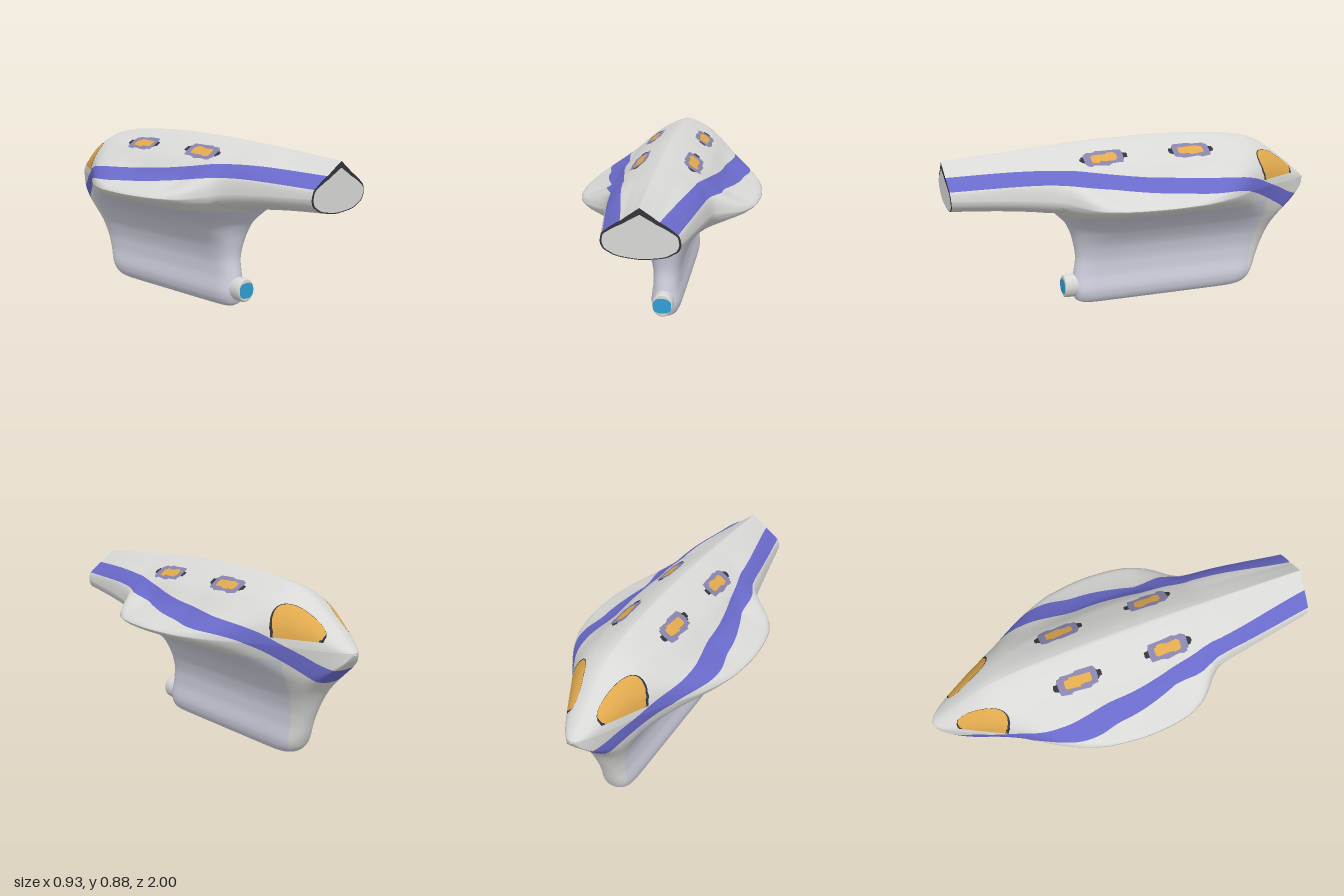
import * as THREE from 'three';

const mat = (name, color) => new THREE.MeshStandardMaterial({ name, color });
const M = {
  hull: mat('hull grey', 0xd8d8d6),
  keel: mat('keel lavender', 0xcfcfde),
  stripe: mat('stripe violet', 0x6a6acb),
  amber: mat('window amber', 0xe0a94e),
  frame: mat('window frame', 0x8883ab),
  dark: mat('dark trim', 0x34343c),
  blue: mat('exhaust blue', 0x32a0d4),
};

// Smooth monotone curve through [position, value] pairs
function curve(keys) {
  const n = keys.length;
  const slope = keys.slice(1).map((k, i) => (k[1] - keys[i][1]) / (k[0] - keys[i][0]));
  const tan = keys.map((_, i) => {
    if (i === 0) return slope[0];
    if (i === n - 1) return slope[n - 2];
    const a = slope[i - 1], b = slope[i];
    return a * b <= 0 ? 0 : (2 * a * b) / (a + b);
  });
  return (p) => {
    if (p <= keys[0][0]) return keys[0][1];
    if (p >= keys[n - 1][0]) return keys[n - 1][1];
    let i = 0;
    while (p > keys[i + 1][0]) i++;
    const h = keys[i + 1][0] - keys[i][0], t = (p - keys[i][0]) / h, s = 1 - t;
    return keys[i][1] * s * s * (1 + 2 * t) + keys[i + 1][1] * t * t * (3 - 2 * t)
      + h * t * s * (tan[i] * s - tan[i + 1] * t);
  };
}

// Hull outline along z: half width, ridge, rim and belly heights
const width = curve([[-1, 0], [-0.99, 0.025], [-0.95, 0.06], [-0.9, 0.09], [-0.8, 0.14], [-0.7, 0.19],
  [-0.6, 0.245], [-0.5, 0.31], [-0.4, 0.37], [-0.3, 0.415], [-0.2, 0.445], [0, 0.465], [0.1, 0.46],
  [0.2, 0.445], [0.3, 0.405], [0.35, 0.365], [0.4, 0.31], [0.45, 0.268], [0.5, 0.252], [0.6, 0.237], [0.8, 0.206], [1, 0.176]]);
const ridge = curve([[-1, 0.58], [-0.99, 0.596], [-0.95, 0.63], [-0.9, 0.672], [-0.8, 0.748], [-0.7, 0.812],
  [-0.6, 0.846], [-0.4, 0.869], [-0.1, 0.878], [0.2, 0.87], [0.5, 0.85], [0.8, 0.825], [1, 0.806]]);
const rim = curve([[-1, 0.58], [-0.9, 0.587], [0.3, 0.588], [0.5, 0.615], [0.75, 0.635], [1, 0.645]]);
const belly = curve([[-1, 0.58], [-0.9, 0.573], [0.3, 0.573], [0.38, 0.55], [0.45, 0.523], [0.5, 0.526], [0.6, 0.54], [0.8, 0.558], [1, 0.567]]);

// Cross-section profiles from rim to ridge, and from rim to belly
const profile = (pts) => [0, 1].map((c) => curve(pts.map((p, i) => [i / (pts.length - 1), p[c]])));
const winged = profile([[1, 0], [0.97, 0.05], [0.86, 0.12], [0.71, 0.22], [0.6, 0.32], [0.53, 0.43], [0.43, 0.6], [0.32, 0.73], [0.215, 0.84], [0.1, 0.94], [0, 1]]);
const full = profile([[1, 0], [0.98, 0.2], [0.93, 0.4], [0.85, 0.55], [0.74, 0.68], [0.6, 0.79], [0.45, 0.87], [0.3, 0.93], [0.18, 0.97], [0.08, 0.99], [0, 1]]);
const mouth = profile([[1, 0], [0.985, 0.12], [0.95, 0.25], [0.86, 0.34], [0.72, 0.46], [0.57, 0.57], [0.43, 0.66], [0.3, 0.77], [0.18, 0.86], [0.08, 0.94], [0, 1]]);
const under = profile([[1, 0], [0.97, 0.25], [0.91, 0.45], [0.8, 0.6], [0.69, 0.75], [0.5, 0.87], [0.29, 0.94], [0.12, 0.98], [0, 1]]);
const fullWeight = curve([[-0.75, 1], [-0.6, 0.85], [-0.4, 0.4], [-0.1, 0], [0.2, 0], [0.5, 0.5], [1, 0]]);
const mouthWeight = curve([[0.2, 0], [0.5, 0.5], [1, 1]]);

const mouthZ = (y) => 1 - 0.02 * (0.806 - y) / 0.239;
function hullRing(z) {
  const w = width(z), top = ridge(z), mid = rim(z), low = belly(z);
  const a = fullWeight(z), b = mouthWeight(z), half = [];
  const slant = Math.max(0, (z - 0.8) / 0.2);
  const add = (x, y) => half.push([x, y, z + slant * (mouthZ(y) - 1) * (top > low ? 1 : 0)]);
  for (let i = 14; i > 0; i--) add(w * under[0](i / 14), mid - (mid - low) * under[1](i / 14));
  for (let i = 0; i <= 40; i++) {
    const [x, y] = [0, 1].map((c) => (1 - a - b) * winged[c](i / 40) + a * full[c](i / 40) + b * mouth[c](i / 40));
    add(w * x, mid + (top - mid) * y);
  }
  return mirrored(half);
}
const mirrored = (half) => half.concat(half.slice(1, -1).reverse().map(([x, y, z]) => [-x, y, z]));

// Keel outline by height: half width, front edge, rear edge, squareness
const keelHalf = curve([[0, 0.03], [0.006, 0.045], [0.02, 0.062], [0.05, 0.075], [0.08, 0.079], [0.17, 0.07], [0.22, 0.071],
  [0.3, 0.087], [0.4, 0.142], [0.45, 0.193], [0.5, 0.272], [0.55, 0.43], [0.57, 0.6], [0.59, 1]]);
const keelFront = curve([[0, 0.3], [0.02, 0.335], [0.08, 0.35], [0.15, 0.343], [0.25, 0.33], [0.35, 0.345], [0.43, 0.375], [0.5, 0.44], [0.55, 0.485], [0.59, 0.5]]);
const keelRear = curve([[0, -0.58], [0.02, -0.64], [0.06, -0.68], [0.22, -0.74], [0.35, -0.8], [0.43, -0.865], [0.5, -0.935], [0.55, -0.98], [0.59, -1]]);
const keelSquare = curve([[0, 14], [0.3, 12], [0.45, 7], [0.59, 4]]);
const keelTaper = curve([[0, 0.6], [0.3, 0.7], [0.45, 0.86], [0.59, 1]]);

function keelRing(y, squash = 1) {
  const f = keelFront(y), r = keelRear(y), half = [];
  for (let i = 0; i <= 80; i++) {
    const t = Math.cos((Math.PI * i) / 80), z = (f + r) / 2 + (t * (f - r)) / 2;
    const a = keelHalf(y) * Math.sqrt(Math.max(0, 1 - Math.abs(t) ** keelSquare(y)));
    const b = width(z) * keelTaper(y) + 1e-5;
    half.push([squash * a * b / (a ** 6 + b ** 6) ** (1 / 6), y, z]);
  }
  return mirrored(half);
}

// Skin closed rings, returning triangles of [x, y, z, nx, ny, nz] corners
function skin(rings) {
  const n = rings[0].length, index = [];
  for (let i = 0; i < rings.length - 1; i++) for (let j = 0; j < n; j++) {
    const k = (j + 1) % n, a = i * n + j, b = i * n + k;
    index.push(a, b, b + n, a, b + n, a + n);
  }
  const g = new THREE.BufferGeometry();
  g.setAttribute('position', new THREE.Float32BufferAttribute(rings.flat(2), 3));
  g.setIndex(index);
  g.computeVertexNormals();
  const p = g.attributes.position.array, m = g.attributes.normal.array;
  const corner = (i) => [...p.slice(3 * i, 3 * i + 3), ...m.slice(3 * i, 3 * i + 3)];
  const tris = [];
  for (let i = 0; i < index.length; i += 3) tris.push([0, 1, 2].map((k) => corner(index[i + k])));
  return tris;
}

// Cut triangles along field = 0 into [inside, outside]
function cut(tris, field) {
  const sides = [[], []];
  for (const tri of tris) {
    const d = tri.map((v) => field(Math.abs(v[0]), v[1], v[2]));
    [1, -1].forEach((sign, s) => {
      const poly = [];
      tri.forEach((v, i) => {
        const j = (i + 1) % 3, in1 = d[i] * sign > 0 || (d[i] === 0 && s === 1), in2 = d[j] * sign > 0 || (d[j] === 0 && s === 1);
        if (in1) poly.push(v);
        if (in1 !== in2) poly.push(v.map((q, c) => q + (tri[j][c] - q) * d[i] / (d[i] - d[j])));
      });
      for (let i = 1; i < poly.length - 1; i++) sides[s].push([poly[0], poly[i], poly[i + 1]]);
    });
  }
  return sides;
}

function meshOf(name, tris, material) {
  const g = new THREE.BufferGeometry(), flat = tris.flat();
  g.setAttribute('position', new THREE.Float32BufferAttribute(flat.flatMap((v) => v.slice(0, 3)), 3));
  g.setAttribute('normal', new THREE.Float32BufferAttribute(flat.flatMap((v) => v.slice(3)), 3));
  const m = new THREE.Mesh(g, material);
  m.name = name;
  return m;
}

// Painted regions as fields, positive inside
const stripeLow = curve([[-0.95, 0.36], [-0.87, 0.42], [-0.8, 0.465], [-0.7, 0.52], [-0.6, 0.57], [-0.5, 0.606], [-0.4, 0.622], [-0.2, 0.632], [0, 0.645], [0.2, 0.665], [0.4, 0.692], [0.6, 0.703], [1, 0.69]]);
const stripeHigh = curve([[-0.95, 0.497], [-0.87, 0.525], [-0.8, 0.56], [-0.7, 0.605], [-0.6, 0.648], [-0.5, 0.672], [-0.4, 0.681], [-0.2, 0.69], [0, 0.705], [0.2, 0.728], [0.4, 0.754], [0.6, 0.762], [1, 0.745]]);
const stripe = (x, y, z) => Math.min(y - stripeLow(z), stripeHigh(z) - y);
const roofPanel = (hx, hz, p) => (x, y, z) => Math.min(y - 0.7,
  Math.max(...[-0.26, 0.215].map((c) => 1 - Math.abs((x - 0.135) / hx) ** p - Math.abs((z - c) / hz) ** p)));
const eye = (grow, shift) => (x, y, z) => {
  const dx = x - 0.125 - shift, dz = z + 0.76, along = 0.42 * dx + 0.907 * dz, across = 0.907 * dx - 0.42 * dz;
  const half = 0.046 + grow + 0.1 * along;
  return Math.min(y - 0.63, 1 - Math.abs(along / (0.13 + grow)) ** 2.6 - Math.abs(across / half) ** 2.2);
};

// Separate a surface into named coloured pieces, first match wins
function paint(group, tris, layers, rest) {
  for (const [name, field, material] of layers) {
    const [inside, outside] = cut(tris, field);
    if (inside.length) group.add(meshOf(name, inside, material));
    tris = outside;
  }
  group.add(meshOf(rest[0], tris, rest[1]));
}

export function createModel() {
  const model = new THREE.Group();

  // Winged hull with stripe and windows
  const hullRings = Array.from({ length: 171 }, (_, i) => hullRing(-1 + 2 * (i / 170) ** 1.2));
  paint(model, skin(hullRings), [
    ['roofWindows', roofPanel(0.027, 0.072, 5), M.amber],
    ['roofWindowFrames', roofPanel(0.045, 0.105, 5), M.frame],
    ['roofWindowEnds', roofPanel(0.025, 0.128, 4), M.dark],
    ['rearWindows', eye(0, 0), M.amber],
    ['rearWindowTrim', eye(0.007, 0.006), M.dark],
    ['hullStripe', stripe, M.stripe],
  ], ['hull', M.hull]);

  // Keel flaring up into the wing undersides
  const keelRings = [keelRing(0, 0)];
  for (let i = 0; i <= 80; i++) keelRings.push(keelRing(0.59 * (i / 80) ** 1.4));
  paint(model, skin(keelRings), [
    ['prowStripe', stripe, M.stripe],
    ['keel', (x, y, z) => Math.min(0.52 - y, z + 0.63 + 0.14 * y), M.keel],
  ], ['wingUnderside', M.hull]);

  // Front opening: dark edge and pale panel
  const end = hullRings[170];
  const panel = (name, sx, up, down, lift, material) => {
    const at = (x, y) => [x * sx, 0.672 + (y - 0.672) * (y > 0.672 ? up : down)];
    const pts = end.map(([x, y]) => at(x, y)).map(([x, y]) => [x, y, mouthZ(y) + lift, 0, 0, 1]);
    const centre = [0, 0.672, mouthZ(0.672) + lift, 0, 0, 1];
    model.add(meshOf(name, pts.map((p, i) => [centre, p, pts[(i + 1) % pts.length]]), material));
  };
  panel('mouthEdge', 1, 1, 1, 0, M.dark);
  panel('mouthPanel', 0.95, 0.78, 0.95, 0.003, M.hull);

  // Exhaust nozzle at the foot of the keel
  const nozzle = new THREE.Group();
  nozzle.name = 'nozzle';
  const pts = [[0.9, -0.08], [0.95, 0.02], [1, 0.04], [1, 0.075], [0.95, 0.088], [0.86, 0.09], [0, 0.09]];
  const body = new THREE.Mesh(new THREE.LatheGeometry(pts.map((p) => new THREE.Vector2(...p)), 40), M.hull);
  body.name = 'nozzleBody';
  body.rotation.x = Math.PI / 2;
  const bodyScale = new THREE.Group();
  bodyScale.add(body);
  bodyScale.scale.set(0.053, 0.061, 1);
  const s = new THREE.Shape();
  for (let i = 0; i < 40; i++) {
    const a = (i / 40) * Math.PI * 2, c = Math.cos(a), d = Math.sin(a);
    const x = 0.047 * Math.sign(c) * Math.abs(c) ** 0.75, y = 0.04 * Math.sign(d) * Math.abs(d) ** 0.75;
    i ? s.lineTo(x, y) : s.moveTo(x, y);
  }
  const glow = new THREE.Mesh(new THREE.ShapeGeometry(s), M.blue);
  glow.name = 'nozzleGlow';
  glow.position.z = 0.093;
  nozzle.add(bodyScale, glow);
  nozzle.position.set(0, 0.098, 0.31);
  model.add(nozzle);
  return model;
}
